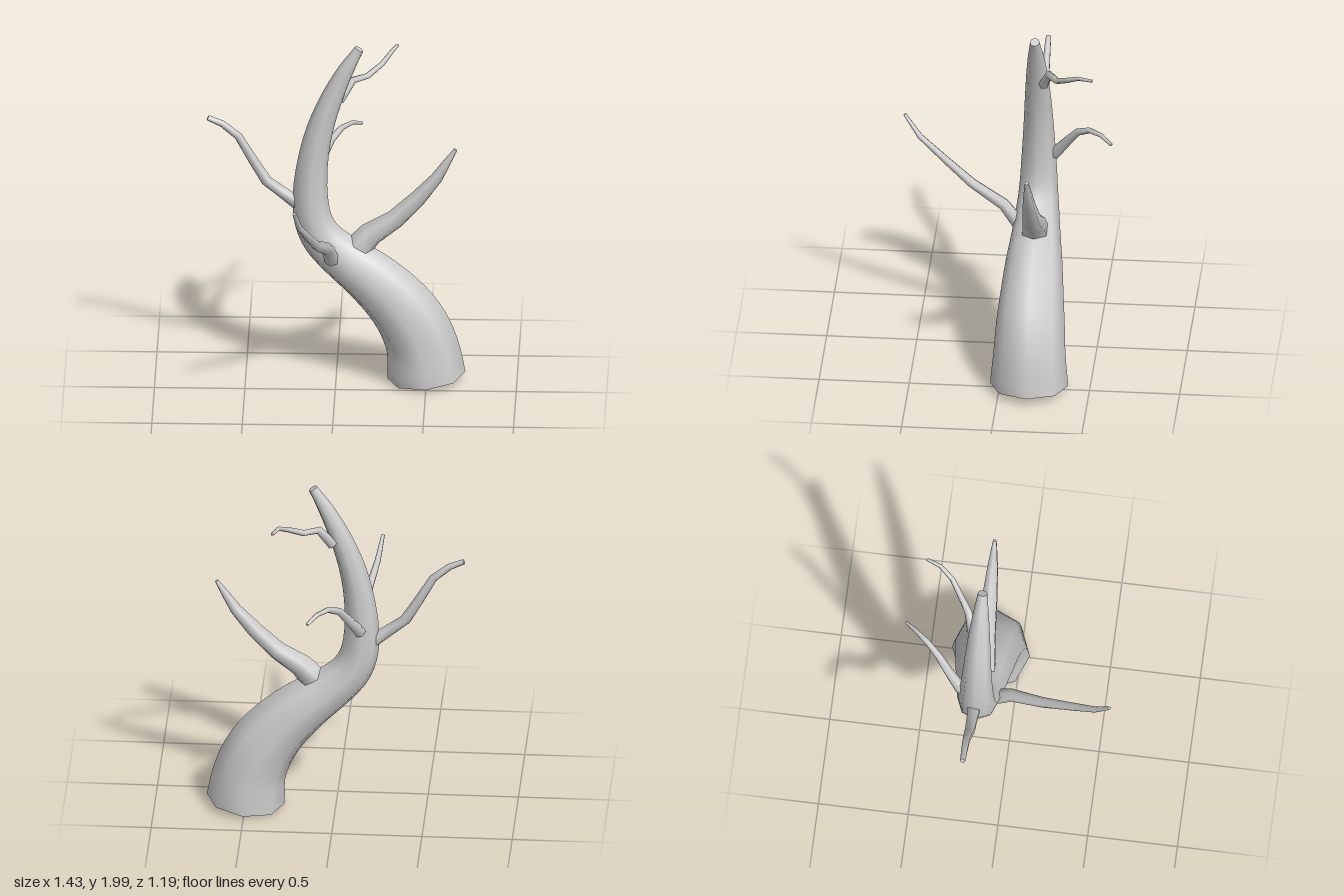
import * as THREE from 'three';

const bark = new THREE.MeshStandardMaterial({ color: 0xcccccc, side: THREE.DoubleSide });
const Z = -0.165; // plane of the trunk

// Tapered limb through stations [x, y, z, radius]; open at the base, capped at the tip
function limb(name, stations, sides, side) {
  const pts = stations.map(s => new THREE.Vector3(s[0], s[1], s[2]));
  const last = pts.length - 1;
  const pos = [], index = [];
  let t;
  pts.forEach((p, i) => {
    const before = pts[Math.max(i - 1, 0)], after = pts[Math.min(i + 1, last)];
    t = after.clone().sub(before).normalize();
    const s = side.clone().addScaledVector(t, -side.dot(t)).normalize();
    const n = s.clone().cross(t);
    for (let j = 0; j < sides; j++) {
      const a = (j / sides) * Math.PI * 2, r = stations[i][3];
      const v = p.clone().addScaledVector(n, r * Math.cos(a)).addScaledVector(s, r * Math.sin(a));
      pos.push(v.x, v.y, v.z);
    }
  });
  for (let i = 0; i < last; i++) {
    for (let j = 0; j < sides; j++) {
      const k = (j + 1) % sides;
      const a = i * sides + j, b = i * sides + k, c = a + sides, d = b + sides;
      index.push(a, b, c, b, d, c);
    }
  }
  // Tip cap with its own vertices so its rim stays sharp
  const rim = pos.slice(last * sides * 3);
  const first = pos.length / 3;
  pos.push(...rim, pts[last].x, pts[last].y, pts[last].z);
  for (let j = 0; j < sides; j++) index.push(first + sides, first + j, first + (j + 1) % sides);

  const geo = new THREE.BufferGeometry();
  geo.setAttribute('position', new THREE.Float32BufferAttribute(pos, 3));
  geo.setIndex(index);
  geo.computeVertexNormals();
  const mesh = new THREE.Mesh(geo, bark);
  mesh.name = name;
  return mesh;
}

// Branch: its rings are levelled across the direction it grows in
function branch(name, stations) {
  const a = stations[0], b = stations[stations.length - 1];
  const side = new THREE.Vector3(b[2] - a[2], 0, a[0] - b[0]).normalize();
  return limb(name, stations, 6, side);
}

// Smooth the trunk's stations: centre line and radius together
function smooth(stations, steps) {
  const line = new THREE.CatmullRomCurve3(stations.map(s => new THREE.Vector3(s[0], s[1], s[2])));
  const girth = new THREE.SplineCurve(stations.map((s, i) => new THREE.Vector2(i, s[3])));
  return Array.from({ length: steps + 1 }, (_, i) => {
    const p = line.getPoint(i / steps);
    return [p.x, p.y, p.z, girth.getPoint(i / steps).y];
  });
}

export function createModel() {
  const tree = new THREE.Group();
  tree.name = 'bareTree';

  // S-shaped trunk
  const trunk = [
    [0.50, 0.03, Z, 0.216], [0.475, 0.21, Z, 0.2], [0.41, 0.365, Z, 0.19],
    [0.31, 0.5, Z, 0.175], [0.175, 0.63, Z, 0.157], [0.04, 0.735, Z, 0.135],
    [-0.07, 0.84, Z, 0.118], [-0.125, 0.95, Z, 0.106], [-0.143, 1.1, Z, 0.097],
    [-0.13, 1.3, Z, 0.085], [-0.09, 1.5, Z, 0.074], [-0.02, 1.7, Z, 0.06],
    [0.06, 1.87, Z, 0.043], [0.127, 1.985, Z, 0.027],
  ];
  tree.add(limb('trunk', smooth(trunk, 39), 8, new THREE.Vector3(0, 0, 1)));

  // Thick branch on the left
  tree.add(branch('leftBranch', [
    [0.12, 0.79, Z, 0.08], [0.19, 0.875, Z, 0.07], [0.325, 0.965, Z, 0.056],
    [0.45, 1.09, Z, 0.047], [0.555, 1.215, Z, 0.034], [0.61, 1.305, Z, 0.023],
    [0.66, 1.387, Z, 0.011],
  ]));

  // Thin branch on the right
  tree.add(branch('rightBranch', [
    [-0.17, 1.02, -0.17, 0.042], [-0.3, 1.12, -0.17, 0.034], [-0.385, 1.185, -0.17, 0.031],
    [-0.46, 1.31, -0.17, 0.027], [-0.54, 1.45, -0.17, 0.023], [-0.63, 1.525, -0.17, 0.02],
    [-0.71, 1.56, -0.17, 0.016],
  ]));

  // Branch reaching forward
  tree.add(branch('frontBranch', [
    [-0.02, 0.76, -0.06, 0.042], [-0.04, 0.86, 0.02, 0.036], [-0.095, 0.955, 0.2, 0.029],
    [-0.14, 1.07, 0.35, 0.023], [-0.185, 1.19, 0.5, 0.017], [-0.21, 1.31, 0.585, 0.01],
  ]));

  // Arching branch at the back
  tree.add(branch('backBranch', [
    [-0.14, 1.14, -0.25, 0.034], [-0.083, 1.255, -0.33, 0.026], [-0.034, 1.34, -0.39, 0.021],
    [0.023, 1.385, -0.46, 0.017], [0.08, 1.387, -0.53, 0.013], [0.13, 1.357, -0.59, 0.009],
  ]));

  // Small crooked twig near the top
  tree.add(branch('upperTwig', [
    [0.015, 1.66, -0.205, 0.03], [0.09, 1.765, -0.24, 0.022], [0.17, 1.77, -0.29, 0.018],
    [0.25, 1.82, -0.35, 0.015], [0.3, 1.862, -0.42, 0.012], [0.33, 1.867, -0.5, 0.009],
  ]));

  return tree;
}
